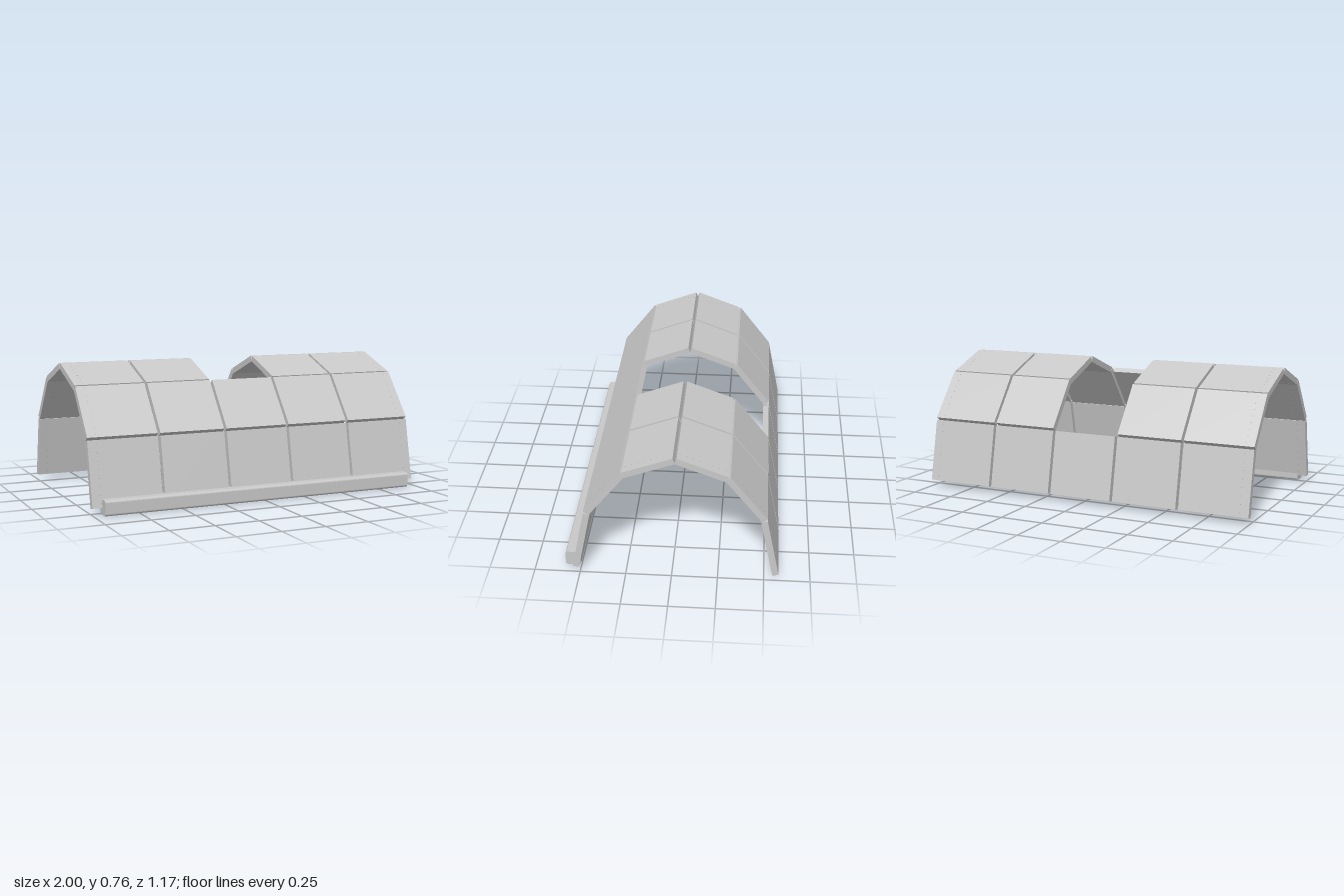
import * as THREE from 'three';

const THICK = 0.035;
const MID_Z = -0.02; // ridge line of the arch

// panel columns along x
const COLUMNS = [[-1, -0.601], [-0.585, -0.205], [-0.189, 0.186], [0.202, 0.581], [0.597, 1]];

// centre lines of the front half of the arch: [z, y] from bottom to top
const ROWS = [
  { name: 'lowerPanel', from: [0.522, 0.035], to: [0.45, 0.388] },
  { name: 'upperPanel', from: [0.4525, 0.395], to: [0.254, 0.6485] },
  { name: 'roofPanel', from: [0.2505, 0.647], to: [-0.0155, 0.746] },
];

// one flat panel, with a row of bolts on the outer columns
function makePanel(row, [x0, x1], back, mat, boltMat) {
  const flip = ([z, y]) => [back ? 2 * MID_Z - z : z, y];
  const [z0, y0] = flip(row.from), [z1, y1] = flip(row.to);
  const length = Math.hypot(z1 - z0, y1 - y0);
  const panel = new THREE.Group();
  panel.name = (back ? 'back ' : 'front ') + row.name;
  panel.position.set((x0 + x1) / 2, (y0 + y1) / 2, (z0 + z1) / 2);
  panel.rotation.x = Math.atan2(z1 - z0, y1 - y0);

  const slab = new THREE.Mesh(new THREE.BoxGeometry(x1 - x0, length, THICK), mat);
  slab.name = row.name;
  panel.add(slab);

  const end = x0 === -1 ? -1 : x1 === 1 ? 1 : 0;
  if (end) {
    const boltGeo = new THREE.CylinderGeometry(0.003, 0.003, THICK + 0.001, 8);
    boltGeo.rotateX(Math.PI / 2);
    for (let i = 0; i < 8; i++) {
      const bolt = new THREE.Mesh(boltGeo, boltMat);
      bolt.name = 'bolt';
      bolt.position.set(end * ((x1 - x0) / 2 - 0.05), ((i + 0.5) / 8 - 0.5) * length, 0);
      panel.add(bolt);
    }
  }
  return panel;
}

// rounded bar running along the foot of the front wall
function makeRail(mat) {
  const h = 0.0425, r = 0.014, length = 1.885;
  const s = new THREE.Shape();
  s.absarc(h - r, h - r, r, 0, Math.PI / 2);
  s.absarc(-h + r, h - r, r, Math.PI / 2, Math.PI);
  s.absarc(-h + r, -h + r, r, Math.PI, Math.PI * 1.5);
  s.absarc(h - r, -h + r, r, Math.PI * 1.5, Math.PI * 2);
  const geo = new THREE.ExtrudeGeometry(s, { depth: length, bevelEnabled: false, curveSegments: 4 });
  geo.translate(0, 0, -length / 2);
  geo.rotateY(Math.PI / 2);
  const rail = new THREE.Mesh(geo, mat);
  rail.name = 'footRail';
  rail.position.set(-0.0025, h, 0.545);
  return rail;
}

export function createModel() {
  const model = new THREE.Group();
  model.name = 'panelledArch';
  const grey = new THREE.MeshStandardMaterial({ name: 'light grey', color: 0xc8c8c8 });
  const boltGrey = new THREE.MeshStandardMaterial({ name: 'bolt grey', color: 0xa8a8a8 });

  COLUMNS.forEach((column, c) => {
    ROWS.forEach((row, r) => {
      for (const back of [false, true]) {
        // the middle column is open over the roof and the upper back
        if (c === 2 && (r === 2 || (back && r === 1))) continue;
        model.add(makePanel(row, column, back, grey, boltGrey));
      }
    });
  });
  model.add(makeRail(grey));
  return model;
}
